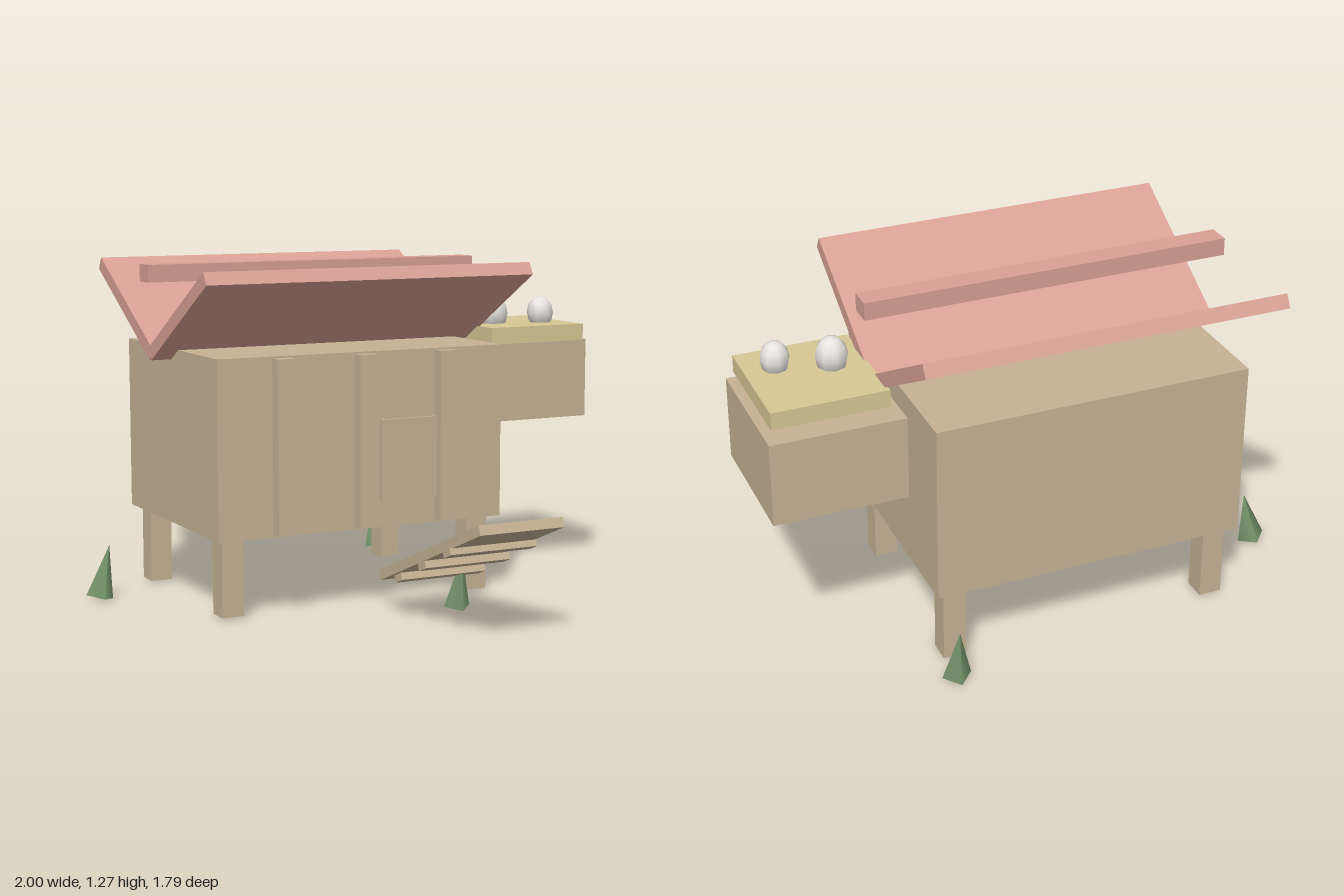
import * as THREE from 'three';

export function createModel() {
  const model = new THREE.Group();
  const material = (name, color) => {
    const m = new THREE.MeshStandardMaterial({ color });
    m.name = name;
    return m;
  };
  const wood = material('wood', 0xc6b294);
  const roof = material('roofPink', 0xd7a093);
  const straw = material('straw', 0xd6c794);
  const shell = material('eggShell', 0xeeeae4);
  const green = material('grassGreen', 0x77986e);

  const add = (name, geometry, mat, x, y, z) => {
    const mesh = new THREE.Mesh(geometry, mat);
    mesh.name = name;
    mesh.position.set(x, y, z);
    model.add(mesh);
    return mesh;
  };
  // Box given by its limits on each axis
  const box = (name, mat, x0, x1, y0, y1, z0, z1) =>
    add(name, new THREE.BoxGeometry(x1 - x0, y1 - y0, z1 - z0), mat,
      (x0 + x1) / 2, (y0 + y1) / 2, (z0 + z1) / 2);

  // House body, door and front battens
  box('body', wood, -0.695, 0.475, 0.3, 0.96, -0.77, 0.11);
  box('door', wood, -0.045, 0.225, 0.4, 0.705, 0.1, 0.125);
  for (const x of [-0.443, -0.112, 0.225]) {
    box('batten', wood, x - 0.037, x + 0.037, 0.31, 0.953, 0.1, 0.155);
  }

  // Legs
  for (const x of [-0.622, 0.398]) {
    for (const z of [0.021, -0.687]) {
      box('leg', wood, x - 0.043, x + 0.043, 0.01, 0.3, z - 0.043, z + 0.043);
    }
  }

  // Roof panels in a V, with the ridge beam above
  for (const side of [1, -1]) {
    const panel = add('roofPanel', new THREE.BoxGeometry(1.325, 0.052, 0.62), roof,
      -0.112, 1.097, -0.333 + side * 0.263);
    panel.rotation.x = -side * Math.PI / 6;
  }
  box('ridgeBeam', roof, -0.795, 0.578, 1.21, 1.275, -0.376, -0.29);

  // Nest box, lid and eggs
  box('nestBox', wood, 0.515, 1.0, 0.63, 0.94, -0.607, -0.103);
  box('nestLid', straw, 0.54, 0.963, 0.94, 1.005, -0.512, -0.068);
  for (const [x, z, r] of [[0.665, -0.268, 0.06], [0.853, -0.215, 0.054]]) {
    const egg = add('egg', new THREE.SphereGeometry(r, 8, 6), shell, x, 1.045, z);
    egg.scale.y = 1.2;
  }

  // Tilted ramp with cleats on its underside
  const tilt = -0.386;
  add('ramp', new THREE.BoxGeometry(0.335, 0.036, 0.777), wood,
    0.092, 0.278, 0.531).rotation.x = tilt;
  for (const [y, z] of [[0.311, 0.686], [0.231, 0.508], [0.154, 0.331]]) {
    add('rampCleat', new THREE.BoxGeometry(0.352, 0.027, 0.053), wood,
      0.09, y, z).rotation.x = tilt;
  }

  // Leaning grass tufts: position, then lean about x and z
  for (const [x, y, z, rx, rz] of [
    [-0.927, 0.113, -0.455, 0, -0.21],
    [0.18, 0.113, 0.315, 0.21, 0],
    [0.437, 0.113, -0.857, -0.17, 0],
  ]) {
    add('grassTuft', new THREE.ConeGeometry(0.054, 0.2, 4), green, x, y, z)
      .rotation.set(rx, 0, rz);
  }
  return model;
}
